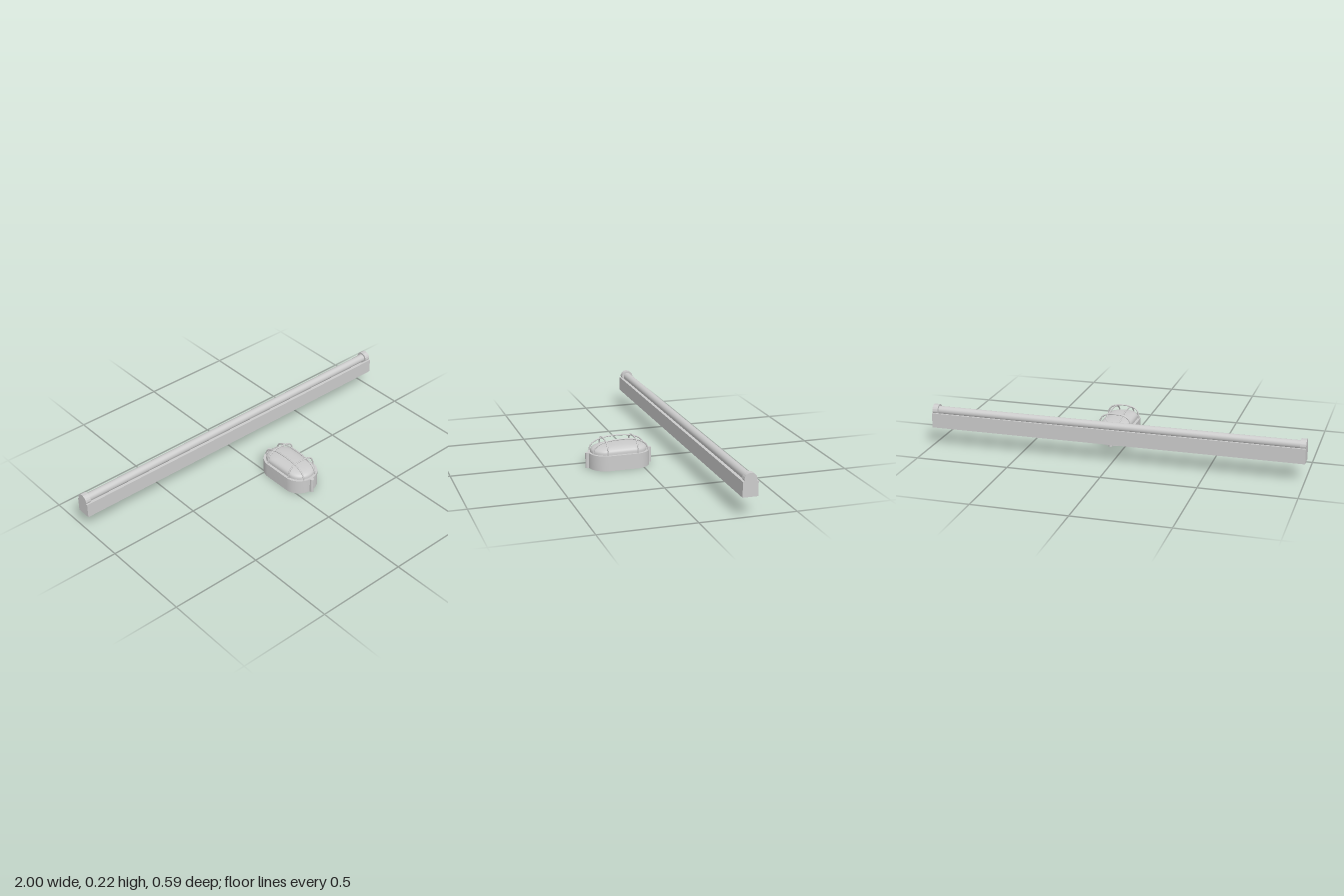
import * as THREE from 'three';
import { toCreasedNormals } from 'three/addons/utils/BufferGeometryUtils.js';

const material = new THREE.MeshStandardMaterial({ color: 0xcccccc });

function add(parent, name, geometry) {
  const mesh = new THREE.Mesh(geometry, material);
  mesh.name = name;
  parent.add(mesh);
  return mesh;
}

// Oblong outline: straight sides with elliptical ends
function oblong(hx, hz, straight, n = 24) {
  const pts = [];
  for (const end of [1, -1]) {
    for (let i = 0; i <= n; i++) {
      const a = (i / n) * Math.PI;
      pts.push(new THREE.Vector2(end * hx * Math.cos(a), end * (straight + (hz - straight) * Math.sin(a))));
    }
  }
  return pts;
}

// Upright prism from a plan outline
function prism(pts, height) {
  const g = new THREE.ExtrudeGeometry(new THREE.Shape(pts), { depth: height, bevelEnabled: false });
  g.rotateX(-Math.PI / 2);
  return toCreasedNormals(g, 0.6);
}

// Rounded cover made of shrinking oblong rings
function domeGeometry(hx, hz, straight, y0, height) {
  const outline = oblong(hx, hz, straight);
  const rings = 14, m = outline.length, pos = [], index = [];
  for (let r = 0; r <= rings; r++) {
    const a = (r / rings) * Math.PI / 2;
    const s = Math.pow(Math.max(Math.cos(a), 0), 2 / 3);
    const y = y0 + height * Math.pow(Math.sin(a), 2 / 3);
    for (const p of outline) pos.push(p.x * s, y, -p.y * s);
  }
  for (let r = 0; r < rings; r++) {
    for (let i = 0; i < m; i++) {
      const j = (i + 1) % m, a = r * m + i, b = r * m + j;
      index.push(a, b, b + m, a, b + m, a + m);
    }
  }
  const g = new THREE.BufferGeometry();
  g.setAttribute('position', new THREE.Float32BufferAttribute(pos, 3));
  g.setIndex(index);
  g.computeVertexNormals();
  return g;
}

// Arched guard wire; place(u, y) maps the arch into the model
function wire(half, height, power, place) {
  const pts = [];
  for (let i = 0; i <= 24; i++) {
    const a = (i / 24) * Math.PI, c = Math.cos(a);
    const u = half * Math.sign(c) * Math.pow(Math.abs(c), 2 / power);
    const y = 0.08 + height * Math.pow(Math.max(Math.sin(a), 0), 2 / power);
    pts.push(place(u, y));
  }
  return new THREE.TubeGeometry(new THREE.CatmullRomCurve3(pts), 64, 0.004, 8);
}

function createBulkheadLamp() {
  const lamp = new THREE.Group();
  lamp.name = 'bulkheadLamp';
  add(lamp, 'base', prism(oblong(0.096, 0.166, 0.075), 0.082));

  // Mounting lugs at both ends
  for (const side of [1, -1]) {
    add(lamp, 'mountingLug', prism(oblong(0.01, 0.017, 0.007, 10), 0.082)).position.z = side * 0.165;
  }
  add(lamp, 'cover', domeGeometry(0.082, 0.153, 0.075, 0.082, 0.038));

  // Wire guard
  for (const side of [1, -1]) {
    add(lamp, 'lengthwiseWire', wire(0.15, 0.071, 2.4, (u, y) => new THREE.Vector3(side * 0.04, y, u)));
    add(lamp, 'crossWire', wire(0.087, 0.071, 2.8, (u, y) => new THREE.Vector3(u, y, side * 0.082)));
  }
  lamp.position.set(0.077, 0, 0.115);
  return lamp;
}

// Profile in (z, y) extruded along x, centred on x
function alongX(shape, length) {
  const g = new THREE.ExtrudeGeometry(shape, { depth: length, bevelEnabled: false, curveSegments: 24 });
  g.translate(0, 0, -length / 2);
  g.rotateY(Math.PI / 2);
  return toCreasedNormals(g, 0.5);
}

function createTubeLamp() {
  const lamp = new THREE.Group();
  lamp.name = 'tubeLamp';

  // Channel with a tapered groove along its top
  const channel = [[-0.04, 0], [0.04, 0], [0.04, 0.079], [0.029, 0.079], [0.017, 0.055],
    [-0.017, 0.055], [-0.029, 0.079], [-0.04, 0.079]];
  add(lamp, 'channel', alongX(new THREE.Shape(channel.map(([x, y]) => new THREE.Vector2(x, y))), 2));

  // Fluorescent tube
  const tube = new THREE.CylinderGeometry(0.022, 0.022, 1.95, 32);
  tube.rotateZ(Math.PI / 2);
  add(lamp, 'tube', tube).position.y = 0.088;

  // Round-topped sockets filling the groove at both ends
  const socket = new THREE.Shape();
  socket.moveTo(-0.017, 0.055);
  socket.lineTo(0.017, 0.055);
  socket.lineTo(0.029, 0.079);
  socket.lineTo(0.033, 0.087);
  socket.absarc(0, 0.087, 0.033, 0, Math.PI, false);
  socket.lineTo(-0.029, 0.079);
  for (const side of [1, -1]) {
    add(lamp, 'socket', alongX(socket, 0.03)).position.x = side * 0.985;
  }
  lamp.position.set(0, 0.1, -0.256);
  return lamp;
}

export function createModel() {
  const model = new THREE.Group();
  model.name = 'lamps';
  model.add(createBulkheadLamp(), createTubeLamp());
  return model;
}
